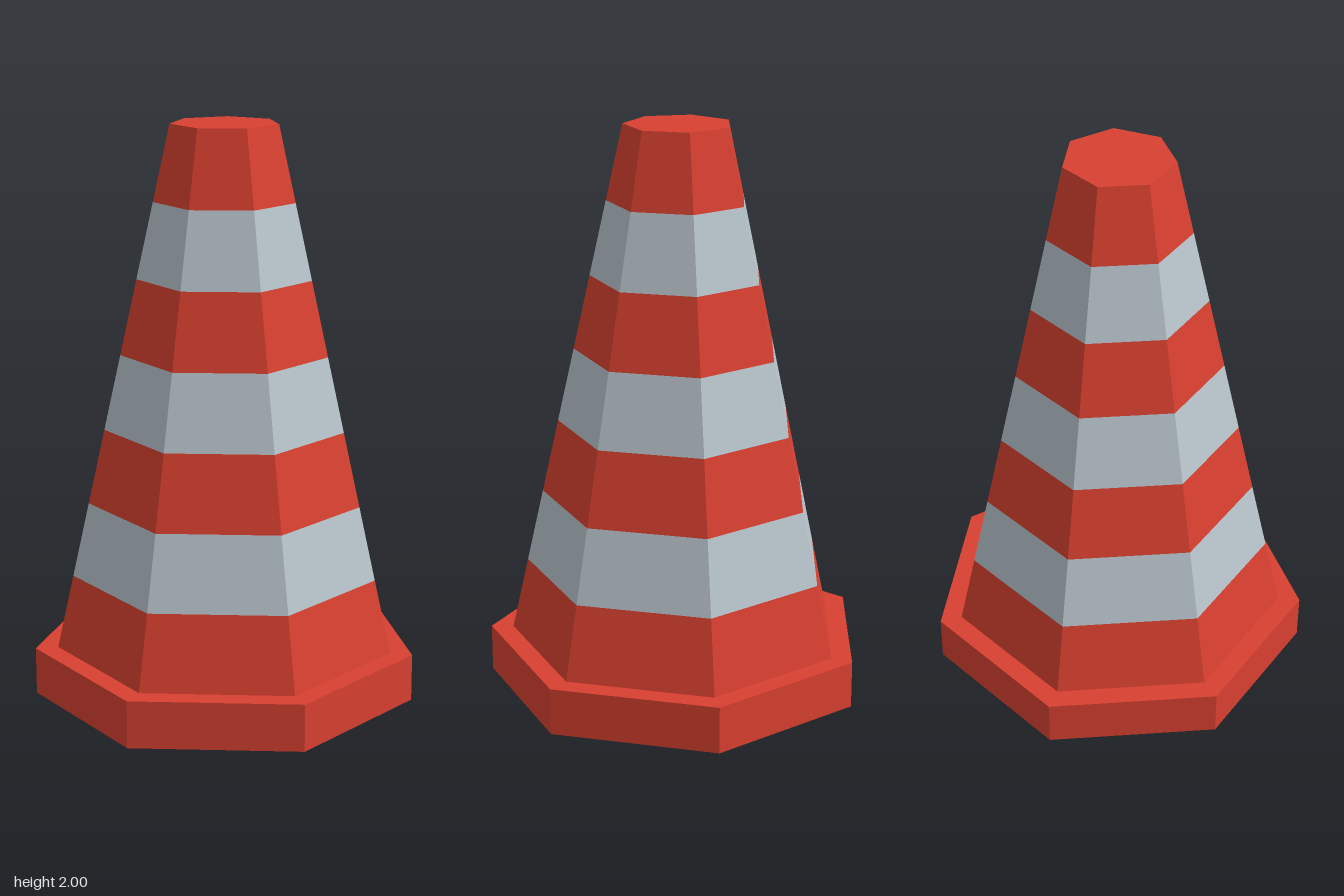
import * as THREE from 'three';

const SIDES = 7;
const BASE_HEIGHT = 0.167;
const TOP = 2;
const BANDS = 7;

export function createModel() {
  const group = new THREE.Group();
  group.name = 'trafficCone';

  const red = new THREE.MeshStandardMaterial({ color: 0xd84030 });
  red.name = 'red';
  const grey = new THREE.MeshStandardMaterial({ color: 0xbac5cd });
  grey.name = 'lightGrey';

  // Seven-sided section with a corner at the back and a flat side in front
  function addSection(name, material, rTop, rBottom, y0, y1, open) {
    const geometry = new THREE.CylinderGeometry(rTop, rBottom, y1 - y0, SIDES, 1, open)
      .rotateY(Math.PI)
      .toNonIndexed();
    geometry.computeVertexNormals();
    const mesh = new THREE.Mesh(geometry, material);
    mesh.name = name;
    mesh.position.set(0, (y0 + y1) / 2, 0.032);
    group.add(mesh);
  }

  // Foot slab
  addSection('base', red, 0.678, 0.678, 0, BASE_HEIGHT, false);

  // Tapered body in equal bands, alternating red and grey
  const radiusAt = (t) => THREE.MathUtils.lerp(0.599, 0.188, t);
  const heightAt = (t) => THREE.MathUtils.lerp(BASE_HEIGHT, TOP, t);
  for (let i = 0; i < BANDS; i++) {
    const t0 = i / BANDS;
    const t1 = (i + 1) / BANDS;
    const isRed = i % 2 === 0;
    // Only the top band is closed
    addSection(`${isRed ? 'red' : 'grey'}Band${i + 1}`, isRed ? red : grey,
      radiusAt(t1), radiusAt(t0), heightAt(t0), heightAt(t1), i < BANDS - 1);
  }

  return group;
}
